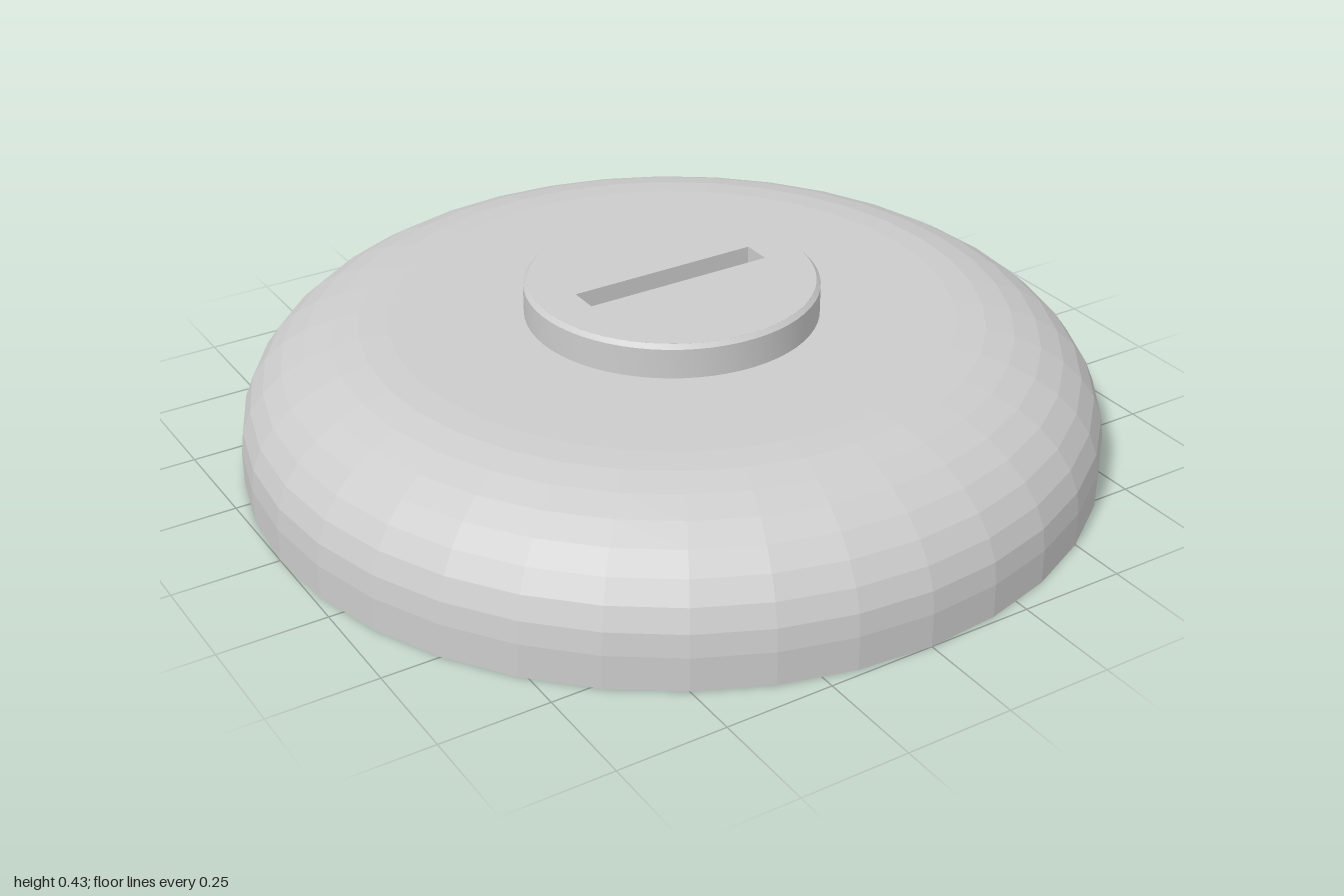
import * as THREE from 'three';
import { toCreasedNormals } from 'three/addons/utils/BufferGeometryUtils.js';

const TOP = 0.345, KNOB_TOP = 0.425, BEVEL = 0.01;
const KNOB_R = 0.34, KNOB_SIDES = 64;

const grey = (options = {}) => new THREE.MeshStandardMaterial({ color: 0xcccccc, ...options });

function addMesh(parent, name, geometry, material) {
  const mesh = new THREE.Mesh(geometry, material);
  mesh.name = name;
  parent.add(mesh);
  return mesh;
}

// Domed body: underside recess and pocket, rim, straight wall, elliptical shoulder, flat top
function bodyGeometry() {
  const profile = [
    [0, 0.195], [0.293, 0.195], [0.293, 0.117], [0.937, 0.117], [0.937, 0], [1, 0],
  ].map(([r, y]) => new THREE.Vector2(r, y));
  const steps = 8, flatR = 0.65, wallY = 0.08;
  for (let i = 0; i <= steps; i++) {
    const a = (i / steps) * Math.PI / 2;
    profile.push(new THREE.Vector2(
      flatR + (1 - flatR) * Math.cos(a),
      wallY + (TOP - wallY) * Math.sin(a)));
  }
  profile.push(new THREE.Vector2(0, TOP));
  return new THREE.LatheGeometry(profile, 36);
}

// Knob side wall with a small chamfer
function knobSideGeometry() {
  const profile = [
    new THREE.Vector2(KNOB_R, TOP),
    new THREE.Vector2(KNOB_R, KNOB_TOP - BEVEL),
    new THREE.Vector2(KNOB_R - BEVEL, KNOB_TOP),
  ];
  return toCreasedNormals(new THREE.LatheGeometry(profile, KNOB_SIDES), 0.5);
}

// Knob face with a coin slot cut down to the body top
function knobFaceGeometry() {
  const disc = new THREE.Shape().absarc(0, 0, KNOB_R - BEVEL, 0, Math.PI * 2, false);
  const w = 0.233, h = 0.035;
  disc.holes.push(new THREE.Path([[-w, -h], [-w, h], [w, h], [w, -h]]
    .map(([x, y]) => new THREE.Vector2(x, y))));
  return new THREE.ExtrudeGeometry(disc, {
    depth: KNOB_TOP - TOP, bevelEnabled: false, curveSegments: KNOB_SIDES,
  }).rotateX(-Math.PI / 2).translate(0, TOP, 0);
}

export function createModel() {
  const model = new THREE.Group();
  model.name = 'slottedCap';
  addMesh(model, 'body', bodyGeometry(), grey({ flatShading: true }));

  const knob = new THREE.Group();
  knob.name = 'knob';
  addMesh(knob, 'knobSide', knobSideGeometry(), grey());
  addMesh(knob, 'slottedFace', knobFaceGeometry(), grey());
  model.add(knob);
  return model;
}
